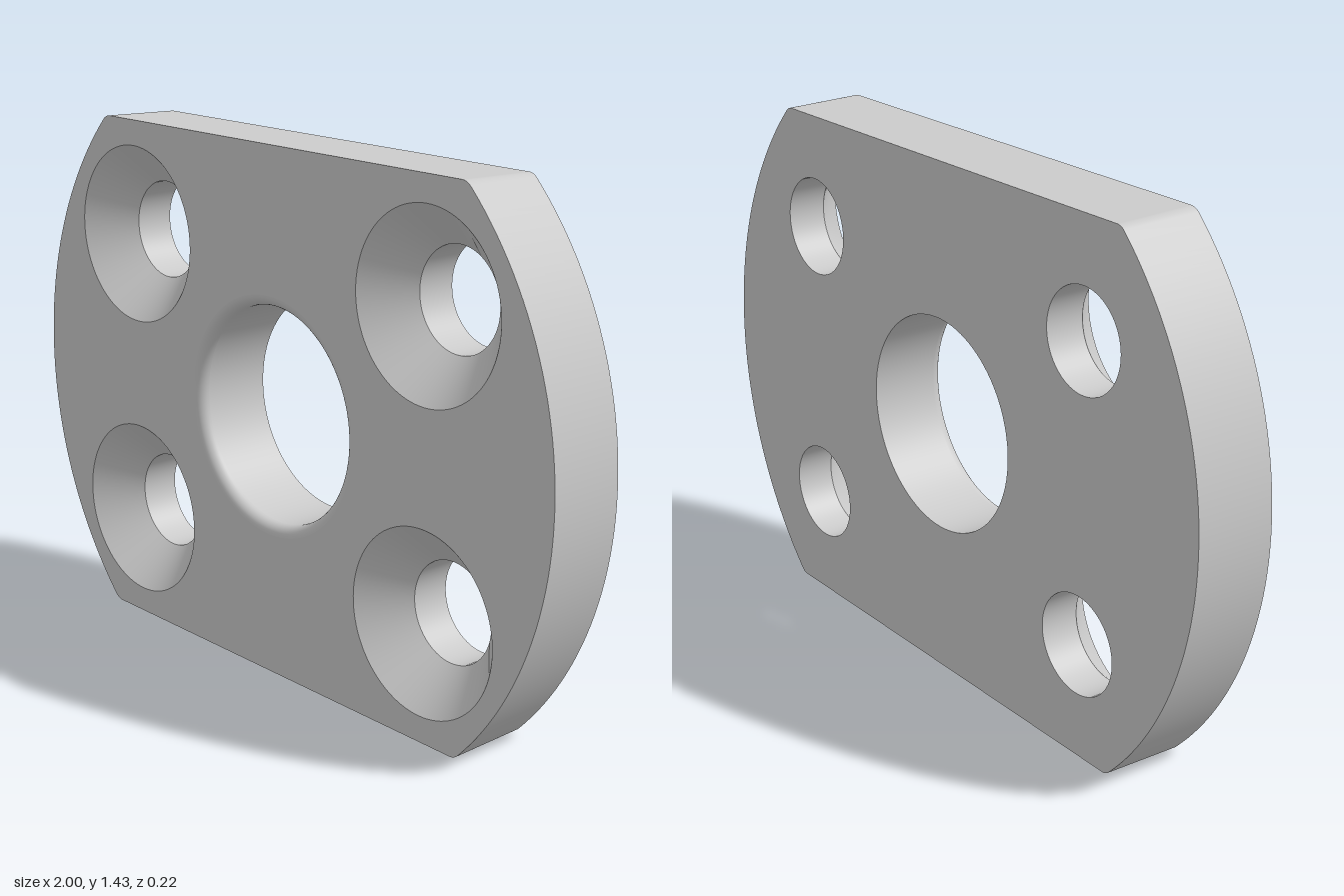
import * as THREE from 'three';

const H = 0.713;              // half height, also the centre's y
const Z = 0.11;               // half thickness
const R = 1, FILLET = 0.04;   // side arcs and corner rounding
const DRAFT = 0.006;          // the back outline is slightly smaller
const BORE = 0.293, BORE_ROUND = 0.03;
const HOLE = 0.135, SINK = 0.245, SEGS = 96;

// Outline as points with the direction of their outward normal
function outline() {
  const cy = H - FILLET, cx = Math.sqrt((R - FILLET) ** 2 - cy ** 2);
  const a = Math.atan2(cy, cx), pts = [];
  const arc = (x, y, r, from, to, n) => {
    for (let i = 0; i <= n; i++) {
      const t = from + (to - from) * i / n, nx = Math.cos(t), ny = Math.sin(t);
      pts.push({ x: x + r * nx, y: y + r * ny, nx, ny });
    }
  };
  for (const turn of [0, Math.PI]) {
    const s = turn ? -1 : 1;
    arc(s * cx, -s * cy, FILLET, turn - Math.PI / 2, turn - a, 8);
    arc(0, 0, R, turn - a, turn + a, 48);
    arc(s * cx, s * cy, FILLET, turn + a, turn + Math.PI / 2, 8);
  }
  return pts;
}

// Flat face with a centre hole and four corner holes
function faceGeometry(pts, inset, boreR, holeR, holes) {
  const shape = new THREE.Shape(pts.map(p => new THREE.Vector2(p.x - p.nx * inset, p.y - p.ny * inset)));
  for (const [x, y, r] of [[0, 0, boreR], ...holes.map(([hx, hy]) => [hx, hy, holeR])]) {
    const ring = [];
    for (let i = 0; i < SEGS; i++) {
      const t = -i / SEGS * Math.PI * 2;
      ring.push(new THREE.Vector2(x + r * Math.cos(t), y + r * Math.sin(t)));
    }
    shape.holes.push(new THREE.Path(ring));
  }
  return new THREE.ShapeGeometry(shape);
}

// Outer wall lofted from the front outline to the back outline
function wallGeometry(pts) {
  const pos = [], nor = [], idx = [];
  const slope = DRAFT / (2 * Z);
  [...pts, pts[0]].forEach((p, i) => {
    pos.push(p.x, p.y, Z, p.x - p.nx * DRAFT, p.y - p.ny * DRAFT, -Z);
    for (let k = 0; k < 2; k++) nor.push(p.nx, p.ny, -slope);
    if (i < pts.length) {
      const f = i * 2;
      idx.push(f, f + 1, f + 2, f + 1, f + 3, f + 2);
    }
  });
  const g = new THREE.BufferGeometry();
  g.setAttribute('position', new THREE.Float32BufferAttribute(pos, 3));
  g.setAttribute('normal', new THREE.Float32BufferAttribute(nor, 3));
  g.setIndex(idx);
  return g;
}

// Inner surface of a hole along z; profile of [radius, z] from front to back
function holeGeometry(profile) {
  return new THREE.LatheGeometry(profile.map(([r, z]) => new THREE.Vector2(r, z)), SEGS).rotateX(Math.PI / 2);
}

export function createModel() {
  const group = new THREE.Group();
  group.name = 'mountingPlate';
  const material = new THREE.MeshStandardMaterial({ color: 0xcccccc, side: THREE.DoubleSide });
  const add = (name, geometry, x = 0, y = 0, z = 0) => {
    const mesh = new THREE.Mesh(geometry, material);
    mesh.name = name;
    mesh.position.set(x, H + y, z);
    group.add(mesh);
  };

  const pts = outline();
  const holes = [[-0.575, -0.398], [0.575, -0.398], [-0.575, 0.398], [0.575, 0.398]];

  // Plate
  add('frontFace', faceGeometry(pts, 0, BORE + BORE_ROUND, SINK, holes), 0, 0, Z);
  add('backFace', faceGeometry(pts, DRAFT, BORE, HOLE, holes).rotateY(Math.PI), 0, 0, -Z);
  add('outerWall', wallGeometry(pts));

  // Centre bore with a rounded front lip
  const bore = [];
  for (let i = 0; i <= 8; i++) {
    const t = i / 8 * Math.PI / 2;
    bore.push([BORE + BORE_ROUND * (1 - Math.sin(t)), Z - BORE_ROUND * (1 - Math.cos(t))]);
  }
  add('centreBoreLip', holeGeometry(bore));
  add('centreBore', holeGeometry([[BORE, Z - BORE_ROUND], [BORE, -Z]]));

  // Countersunk screw holes
  const neck = Z - (SINK - HOLE);
  for (const [x, y] of holes) {
    add('countersink', holeGeometry([[SINK, Z], [HOLE, neck]]), x, y);
    add('screwHole', holeGeometry([[HOLE, neck], [HOLE, -Z]]), x, y);
  }
  return group;
}
